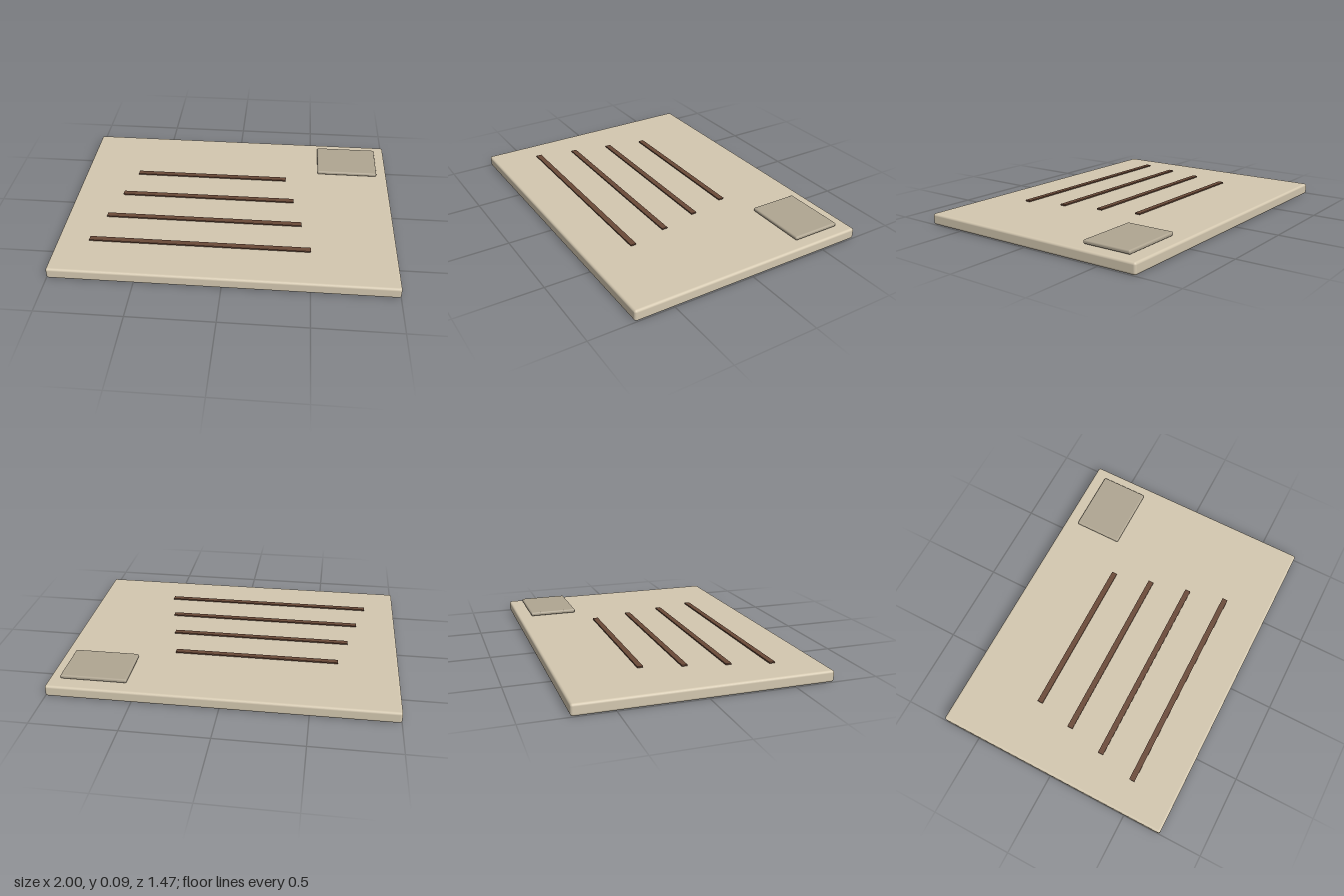
import * as THREE from 'three';
import { RoundedBoxGeometry } from 'three/addons/geometries/RoundedBoxGeometry.js';

export function createModel() {
  const group = new THREE.Group();
  const paper = new THREE.MeshStandardMaterial({ color: 0xd4c8b0 });
  const ink = new THREE.MeshStandardMaterial({ color: 0x6b4a38 });
  const seal = new THREE.MeshStandardMaterial({ color: 0xb0a692 });

  function add(name, geometry, material, x, y, z) {
    const mesh = new THREE.Mesh(geometry, material);
    mesh.name = name;
    mesh.position.set(x, y, z);
    group.add(mesh);
  }

  // Card slab with softened edges
  add('card', new RoundedBoxGeometry(2, 0.067, 1.47, 4, 0.014), paper, 0, 0.0335, 0);

  // Raised stamp in the back left corner
  add('stamp', new RoundedBoxGeometry(0.39, 0.024, 0.3, 4, 0.01), seal, 0.737, 0.083, -0.503);

  // Four thin strips, growing longer towards the front
  for (let i = 0; i < 4; i++) {
    const strip = new THREE.BoxGeometry(0.977 + i * 0.109, 0.008, 0.034);
    add(`strip${i + 1}`, strip, ink, -0.155, 0.079, -0.264 + i * 0.239);
  }
  return group;
}
